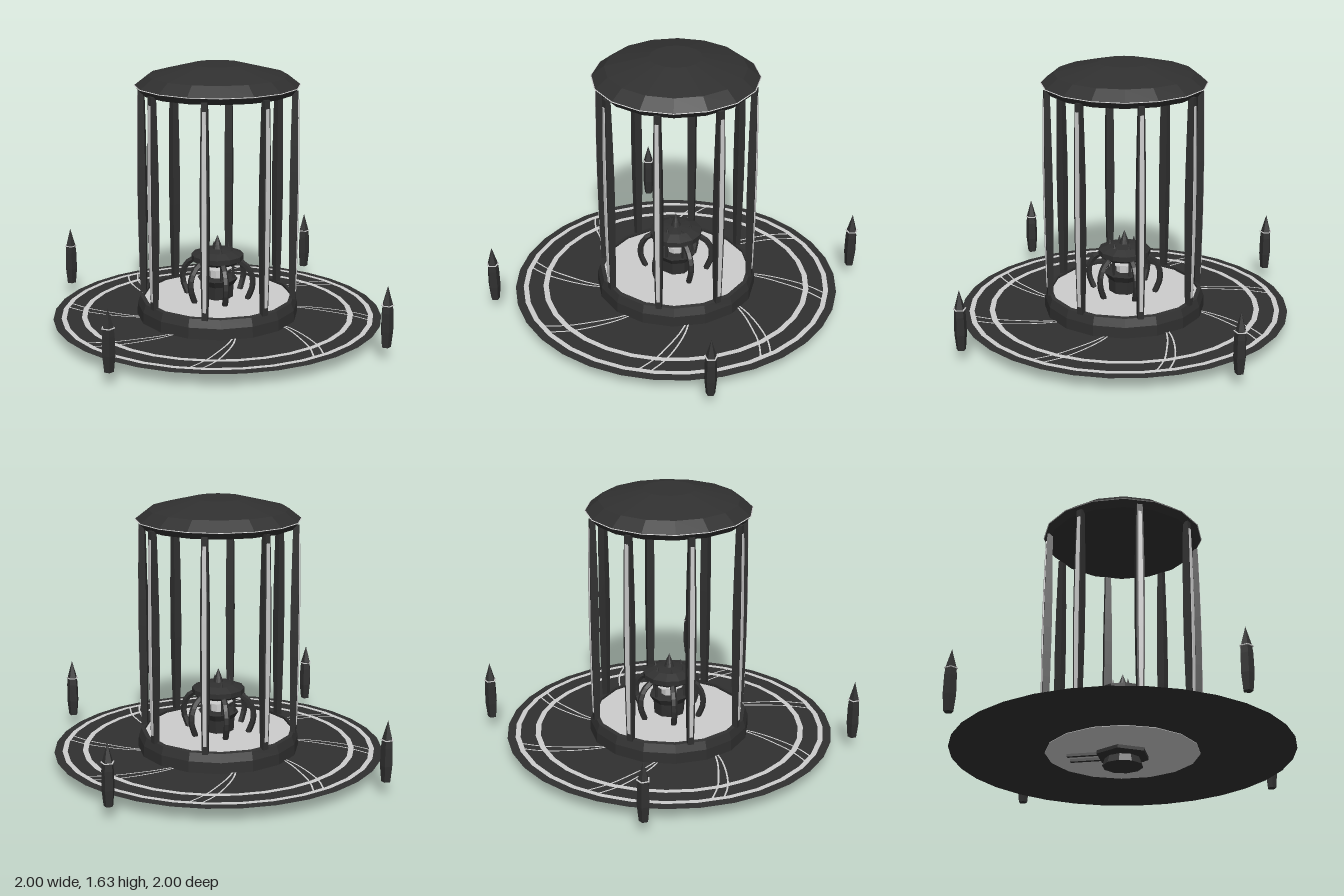
import * as THREE from 'three';

export function createModel() {
  const model = new THREE.Group();
  const dark = new THREE.MeshStandardMaterial({ color: 0x303030, flatShading: true, side: THREE.DoubleSide });
  dark.name = 'dark stone';
  const light = new THREE.MeshStandardMaterial({ color: 0xcccccc, flatShading: true, side: THREE.DoubleSide });
  light.name = 'pale inlay';

  const add = (name, geo, mat, parent = model) => {
    const mesh = new THREE.Mesh(geo, mat);
    mesh.name = name;
    parent.add(mesh);
    return mesh;
  };
  const group = (name, angle = 0, parent = model) => {
    const g = new THREE.Group();
    g.name = name;
    g.rotation.y = angle;
    parent.add(g);
    return g;
  };
  // Faceted body of revolution, turned half a step so a flat faces the front
  const lathe = (pts, sides) =>
    new THREE.LatheGeometry(pts.map(([r, y]) => new THREE.Vector2(r, y)), sides).rotateY(Math.PI / sides);
  const flatRing = (inner, outer, y, sides) =>
    new THREE.RingGeometry(inner, outer, sides).rotateZ(Math.PI / sides).rotateX(-Math.PI / 2).translate(0, y, 0);

  // Broad ground disc with two inlaid rings
  add('groundDisc', flatRing(0.45, 1.0048, 0.083, 32), dark);
  add('outerRing', flatRing(0.925, 0.956, 0.087, 32), light);
  add('innerRing', flatRing(0.8, 0.833, 0.087, 32), light);

  // Swirling pairs of inlaid lines, as flat ribbons along curves
  const ribbon = (pts) => {
    const path = new THREE.SplineCurve(pts.map(([x, z]) => new THREE.Vector2(x, -z)));
    const sideA = [], sideB = [];
    for (let i = 0; i <= 12; i++) {
      const p = path.getPoint(i / 12), t = path.getTangent(i / 12);
      const n = new THREE.Vector2(-t.y, t.x).multiplyScalar(0.005);
      sideA.push(p.clone().add(n));
      sideB.unshift(p.clone().sub(n));
    }
    return new THREE.ShapeGeometry(new THREE.Shape([...sideA, ...sideB])).rotateX(-Math.PI / 2).translate(0, 0.087, 0);
  };
  const lineA = ribbon([[0.47, 0.005], [0.56, 0.04], [0.681, 0.11], [0.8, 0.2], [0.885, 0.3]]);
  const lineB = ribbon([[0.47, 0.02], [0.56, 0.075], [0.654, 0.148], [0.77, 0.25], [0.86, 0.37]]);
  for (let i = 0; i < 8; i++) {
    const g = group('swirlLines', i * Math.PI / 4);
    add('swirlLine', lineA, light, g);
    add('swirlLine', lineB, light, g);
  }

  // Raised base with a pale floor
  add('base', lathe([[0.45, 0.083], [0.492, 0.083], [0.49, 0.15], [0.473, 0.2], [0.45, 0.205], [0.45, 0.083]], 16), dark);
  add('floor', lathe([[0, 0.08], [0.452, 0.08], [0.452, 0.19], [0, 0.19]], 16), light);

  // Bulging columns with a pale strip on the outer face
  const bulge = (geo) => {
    const p = geo.attributes.position;
    for (let i = 0; i < p.count; i++) {
      const s = 0.8 + 0.35 * Math.sin(Math.PI * (p.getY(i) / 1.28 + 0.5));
      p.setX(i, p.getX(i) * s);
      p.setZ(i, p.getZ(i) * s);
    }
    return geo.translate(0, 0.835, 0.462);
  };
  const post = bulge(new THREE.BoxGeometry(0.044, 1.28, 0.042, 1, 8, 1));
  const strip = bulge(new THREE.BoxGeometry(0.024, 1.18, 0.006, 1, 8, 1).translate(0, 0, 0.023));
  for (let i = 0; i < 8; i++) {
    const g = group('column', Math.PI / 8 + i * Math.PI / 4);
    add('columnPost', post, dark, g);
    add('columnStrip', strip, light, g);
  }

  // Shallow domed canopy with a thin pale edge
  add('canopy', lathe([[0, 1.46], [0.458, 1.46], [0.492, 1.5], [0.415, 1.56], [0.155, 1.625], [0, 1.627]], 16), dark);
  add('canopyEdge', lathe([[0.489, 1.497], [0.4945, 1.5], [0.489, 1.5025]], 16), light);

  // Four pointed pillars at the corners
  const pillar = new THREE.LatheGeometry(
    [[0, 0.083], [0.028, 0.083], [0.038, 0.18], [0.036, 0.29], [0.031, 0.34], [0, 0.45]].map(([r, y]) => new THREE.Vector2(r, y)), 5);
  const collar = new THREE.CylinderGeometry(0.04, 0.04, 0.004, 5);
  for (const x of [-0.8, 0.8]) for (const z of [-0.8, 0.8]) {
    const g = group('cornerPillar');
    g.position.set(x, 0, z);
    add('pillarBody', pillar, dark, g);
    add('pillarCollar', collar, light, g).position.y = 0.335;
  }

  // Central pedestal: pot, pale core and lid
  const pedestal = group('pedestal');
  add('pot', lathe([[0, 0.19], [0.095, 0.19], [0.1, 0.27], [0.125, 0.31], [0.09, 0.315], [0, 0.315]], 8), dark, pedestal);
  add('core', lathe([[0.05, 0.31], [0.05, 0.365], [0.09, 0.37], [0.09, 0.376], [0, 0.376]], 8), light, pedestal);
  add('stem', new THREE.CylinderGeometry(0.018, 0.018, 0.1, 6).translate(0, 0.39, 0), dark, pedestal);
  add('lid', lathe([[0, 0.41], [0.13, 0.41], [0.16, 0.43], [0.16, 0.46], [0.1, 0.485], [0.03, 0.495], [0.022, 0.52], [0, 0.58]], 12), dark, pedestal);

  // Six curved legs around the pedestal, each with a stud on the lid
  const legPath = new THREE.CatmullRomCurve3(
    [[0.12, 0.43], [0.18, 0.4], [0.217, 0.34], [0.22, 0.27], [0.19, 0.19]].map(([z, y]) => new THREE.Vector3(0, y, z)));
  const legGeo = new THREE.TubeGeometry(legPath, 8, 0.019, 5);
  const hanger = new THREE.BoxGeometry(0.012, 0.12, 0.012).translate(0, 0.36, 0.1);
  const stud = new THREE.ConeGeometry(0.014, 0.045, 5).translate(0, 0.495, 0.09);
  for (let i = 0; i < 6; i++) {
    const g = group('pedestalLeg', i * Math.PI / 3, pedestal);
    add('legCurve', legGeo, dark, g);
    add('legHanger', hanger, dark, g);
    add('lidStud', stud, dark, g);
  }

  // Foot beneath the floor, with two rods reaching backwards
  const foot = group('foot');
  add('footBlock', lathe([[0, 0], [0.12, 0], [0.105, 0.045], [0, 0.045]], 10), dark, foot);
  add('footPlate', lathe([[0, 0.045], [0.13, 0.045], [0.16, 0.06], [0.16, 0.08], [0, 0.08]], 6), dark, foot);
  for (const x of [-0.045, 0.045]) {
    add('footRod', new THREE.BoxGeometry(0.022, 0.016, 0.24).translate(x, 0.07, -0.2), dark, foot);
  }
  return model;
}
